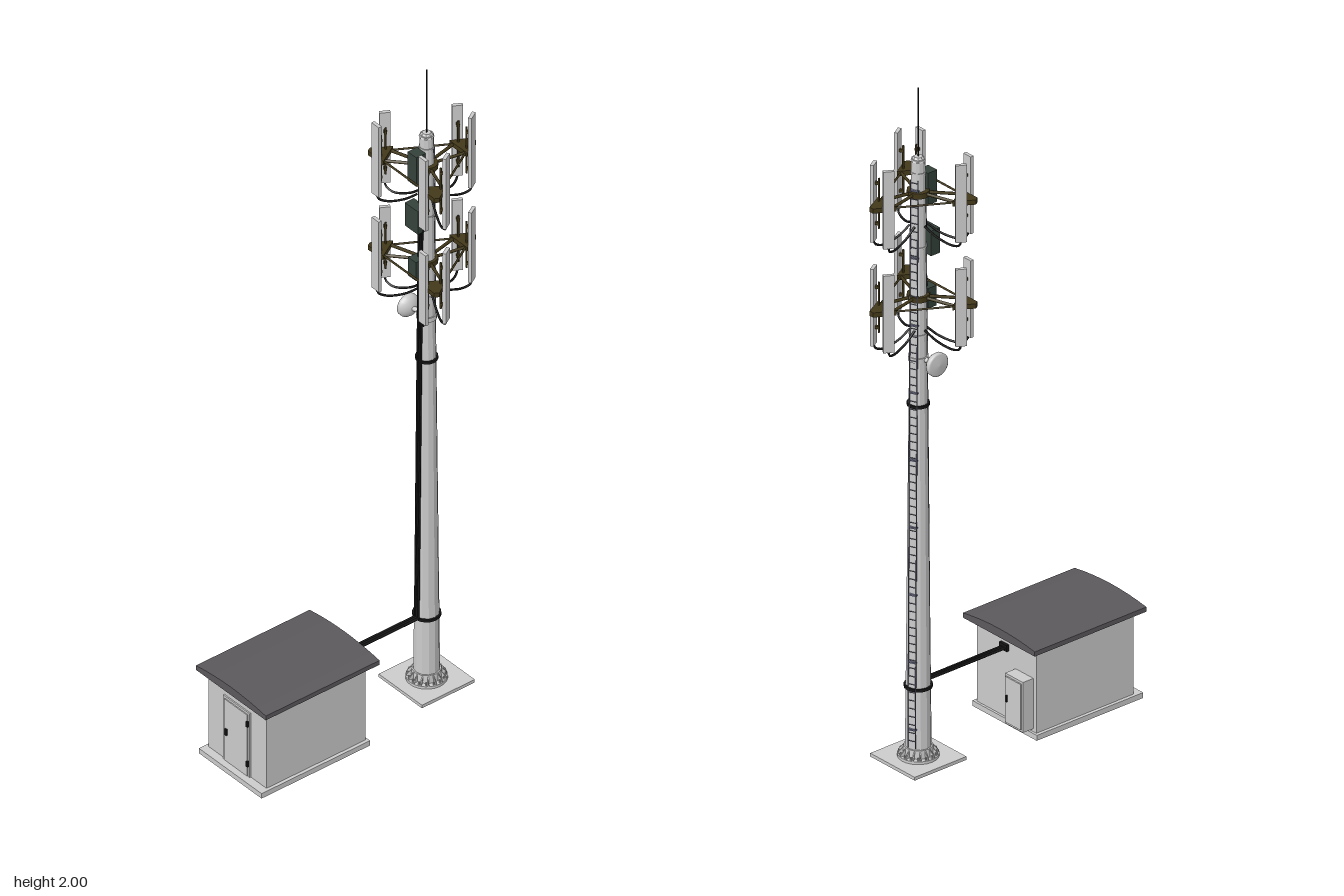
import * as THREE from 'three';

const mat = (color, extra = {}) => new THREE.MeshStandardMaterial({ color, ...extra });
const V = (x, y, z) => new THREE.Vector3(x, y, z);

export function createModel() {
  const grey = mat(0xcccccc);
  const facet = mat(0xcccccc, { flatShading: true });
  const roofMat = mat(0x5c595d, { flatShading: true });
  const olive = mat(0x43391a);
  const black = mat(0x161616);
  const green = mat(0x34423a);
  const blue = mat(0x70728c);

  const add = (parent, name, geo, material, x = 0, y = 0, z = 0) => {
    const m = new THREE.Mesh(geo, material);
    m.name = name;
    m.position.set(x, y, z);
    parent.add(m);
    return m;
  };
  // box given by its min and max corners
  const box = (parent, name, material, a, b) => add(parent, name,
    new THREE.BoxGeometry(b[0] - a[0], b[1] - a[1], b[2] - a[2]), material,
    (a[0] + b[0]) / 2, (a[1] + b[1]) / 2, (a[2] + b[2]) / 2);
  const rod = (parent, name, material, p, q, r, sides = 6) => {
    const m = add(parent, name, new THREE.CylinderGeometry(r, r, p.distanceTo(q), sides), material);
    m.position.copy(p).lerp(q, 0.5);
    m.quaternion.setFromUnitVectors(V(0, 1, 0), q.clone().sub(p).normalize());
    return m;
  };
  const tube = (parent, name, points, r) => add(parent, name,
    new THREE.TubeGeometry(new THREE.CatmullRomCurve3(points), 16, r, 6), black);
  const group = (parent, name, x = 0, y = 0, z = 0, angle = 0) => {
    const g = new THREE.Group();
    g.name = name;
    g.position.set(x, y, z);
    g.rotation.y = -angle; // local +x points to (cos, sin) in the x-z plane
    parent.add(g);
    return g;
  };

  const root = new THREE.Group();
  root.name = 'cellTower';

  // Equipment hut
  const hut = group(root, 'hut');
  box(hut, 'hutSlab', grey, [-0.415, 0, -0.13], [-0.045, 0.016, 0.13]);
  box(hut, 'hutWalls', grey, [-0.39, 0.016, -0.12], [-0.052, 0.272, 0.12]);
  const roof = new THREE.Shape();
  roof.moveTo(-0.145, 0.264);
  roof.lineTo(0.145, 0.264);
  roof.lineTo(0.145, 0.278);
  roof.quadraticCurveTo(0, 0.302, -0.145, 0.278);
  const roofGeo = new THREE.ExtrudeGeometry(roof, { depth: 0.388, bevelEnabled: false, curveSegments: 8 });
  roofGeo.rotateY(Math.PI / 2);
  add(hut, 'roof', roofGeo, roofMat, -0.413, 0, 0);
  // Door with frame, hinges and handle
  box(hut, 'doorFrame', grey, [-0.394, 0.016, -0.055], [-0.388, 0.225, 0.055]);
  box(hut, 'door', grey, [-0.397, 0.018, -0.048], [-0.39, 0.218, 0.048]);
  box(hut, 'doorHandle', black, [-0.402, 0.105, -0.04], [-0.396, 0.125, -0.034]);
  for (const y of [0.05, 0.18]) box(hut, 'hinge', black, [-0.4, y, 0.046], [-0.393, y + 0.018, 0.052]);
  // Wall cabinet
  box(hut, 'cabinet', grey, [-0.053, 0.025, -0.108], [-0.016, 0.175, -0.036]);
  box(hut, 'cabinetDoor', grey, [-0.016, 0.032, -0.103], [-0.012, 0.168, -0.041]);
  box(hut, 'cabinetLatch', black, [-0.012, 0.095, -0.05], [-0.009, 0.115, -0.046]);

  // Mast with foot
  const tower = group(root, 'tower', 0.255);
  const H = 1.79;
  const rad = y => 0.036 - 0.017 * y / H;
  box(tower, 'basePlate', grey, [-0.09, 0, -0.09], [0.09, 0.01, 0.09]);
  add(tower, 'mast', new THREE.CylinderGeometry(rad(H), rad(0), H - 0.01, 12), facet, 0, H / 2 + 0.005, 0);
  add(tower, 'mastCap', new THREE.CylinderGeometry(0.012, 0.021, 0.012, 8), facet, 0, H, 0);
  add(tower, 'footFlange', new THREE.CylinderGeometry(0.056, 0.056, 0.008, 24), grey, 0, 0.014, 0);
  add(tower, 'footCollar', new THREE.CylinderGeometry(0.04, 0.042, 0.024, 12), facet, 0, 0.03, 0);
  for (let i = 0; i < 16; i++) {
    const g = group(tower, 'gusset', 0, 0, 0, (i + 0.5) * Math.PI / 8);
    const fin = new THREE.Shape([[0.036, 0.018], [0.054, 0.018], [0.054, 0.022], [0.036, 0.042]]
      .map(p => new THREE.Vector2(...p)));
    add(g, 'gussetFin', new THREE.ExtrudeGeometry(fin, { depth: 0.003, bevelEnabled: false }), grey, 0, 0, -0.0015);
    add(g, 'bolt', new THREE.CylinderGeometry(0.0025, 0.0025, 0.012, 6), grey, 0.05, 0.02, 0.006);
  }
  for (const y of [0.22, 1.06]) {
    add(tower, 'mastRing', new THREE.CylinderGeometry(rad(y) + 0.005, rad(y) + 0.005, 0.008, 16), black, 0, y, 0);
  }
  for (const y of [1.27, 1.53, 1.75]) {
    add(tower, 'mastJoint', new THREE.CylinderGeometry(rad(y) + 0.002, rad(y) + 0.002, 0.005, 12), grey, 0, y, 0);
  }
  rod(tower, 'whipAntenna', black, V(0, H, 0), V(0, 2, 0), 0.0018);

  // Ladder following the taper
  const ladder = group(tower, 'ladder', 0, 0, 0, -0.42);
  for (const s of [-1, 1]) {
    rod(ladder, 'ladderRail', blue, V(rad(0) + 0.005, 0.05, s * 0.011), V(rad(1.735) + 0.005, 1.735, s * 0.011), 0.0016);
  }
  for (let y = 0.07; y < 1.73; y += 0.024) {
    const x = rad(y) + 0.005;
    rod(ladder, 'rung', blue, V(x, y, -0.011), V(x, y, 0.011), 0.0012, 5);
  }
  for (let y = 0.1; y < 1.73; y += 0.2) {
    box(ladder, 'ladderBracket', blue, [rad(y) - 0.004, y, -0.011], [rad(y) + 0.005, y + 0.004, 0.011]);
  }

  // Feeder cables from the hut and up the mast
  for (let i = -1; i <= 1; i++) {
    const z = 0.005 + i * 0.007;
    const foot = V(-rad(0.225) - 0.004, 0.225, z);
    rod(tower, 'bridgeCable', black, V(-0.31, 0.225, z), foot, 0.0035);
    rod(tower, 'mastCable', black, foot, V(-rad(1.72) - 0.003, 1.72, z), 0.003);
  }
  box(tower, 'cableInlet', black, [-0.309, 0.217, -0.01], [-0.298, 0.236, 0.02]);

  // Radio boxes on the mast
  box(tower, 'radioBox', green, [-0.053, 1.5, -0.026], [-0.022, 1.575, 0.028]);
  box(tower, 'upperRadioBox', green, [-0.05, 1.65, -0.018], [-0.018, 1.745, 0.018]);
  box(tower, 'lowerRadioBox', green, [-0.05, 1.34, -0.016], [-0.02, 1.4, 0.016]);

  // Triangular antenna platforms
  const plate = new THREE.Shape([[0.163, -0.007], [0.163, 0.007], [0.108, 0.037], [0.108, -0.037]]
    .map(p => new THREE.Vector2(...p)));
  const plateGeo = new THREE.ExtrudeGeometry(plate, { depth: 0.014, bevelEnabled: false });
  plateGeo.rotateX(Math.PI / 2).translate(0, 0.007, 0);
  const turn = 2 * Math.PI / 3;
  for (const y of [1.69, 1.38]) {
    const platform = group(tower, 'antennaPlatform', 0, y, 0);
    add(platform, 'mastClamp', new THREE.CylinderGeometry(0.031, 0.031, 0.016, 12), olive);
    for (let k = 0; k < 3; k++) {
      const corner = group(platform, 'platformCorner', 0, 0, 0, k * turn);
      add(corner, 'cornerPlate', plateGeo, olive);
      for (const s of [-1, 1]) {
        rod(corner, 'arm', olive, V(0.02, 0, s * 0.006), V(0.118, 0, s * 0.026), 0.0045);
      }
      const side = group(platform, 'platformSide', 0, 0, 0, k * turn + Math.PI / 3);
      rod(side, 'sideRail', olive, V(0.078, 0, -0.12), V(0.078, 0, 0.12), 0.003);
      for (const s of [-1, 1]) {
        const z = s * 0.097;
        box(side, 'panelAntenna', grey, [0.086, -0.112, z - 0.015], [0.096, 0.118, z + 0.015]);
        for (const h of [-0.06, 0.06]) box(side, 'panelBracket', olive, [0.074, h - 0.004, z - 0.004], [0.087, h + 0.004, z + 0.004]);
        rod(side, 'panelPole', olive, V(0.076, -0.075, z), V(0.076, 0.075, z), 0.003);
        tube(side, 'panelCable', [V(0.09, -0.11, z), V(0.088, -0.124, z * 0.97), V(0.07, -0.132, z * 0.8),
          V(0.04, -0.118, z * 0.42), V(0.019, -0.095, z * 0.14)], 0.0032);
      }
    }
  }

  // Microwave dish facing the back
  const dish = group(tower, 'dish', -0.01, 1.197, 0);
  const drum = new THREE.LatheGeometry([[0, 0.042], [0.012, 0.042], [0.026, 0.05], [0.034, 0.06], [0.034, 0.07], [0.03, 0.073], [0, 0.076]]
    .map(p => new THREE.Vector2(...p)), 24);
  drum.rotateX(-Math.PI / 2);
  add(dish, 'dishDrum', drum, mat(0xcccccc, { side: THREE.DoubleSide }));
  rod(dish, 'dishMount', grey, V(0.008, 0, -0.02), V(0, 0, -0.046), 0.007, 10);
  add(dish, 'dishClamp', new THREE.CylinderGeometry(0.028, 0.028, 0.014, 12), grey, 0.01, 0, 0);

  return root;
}
